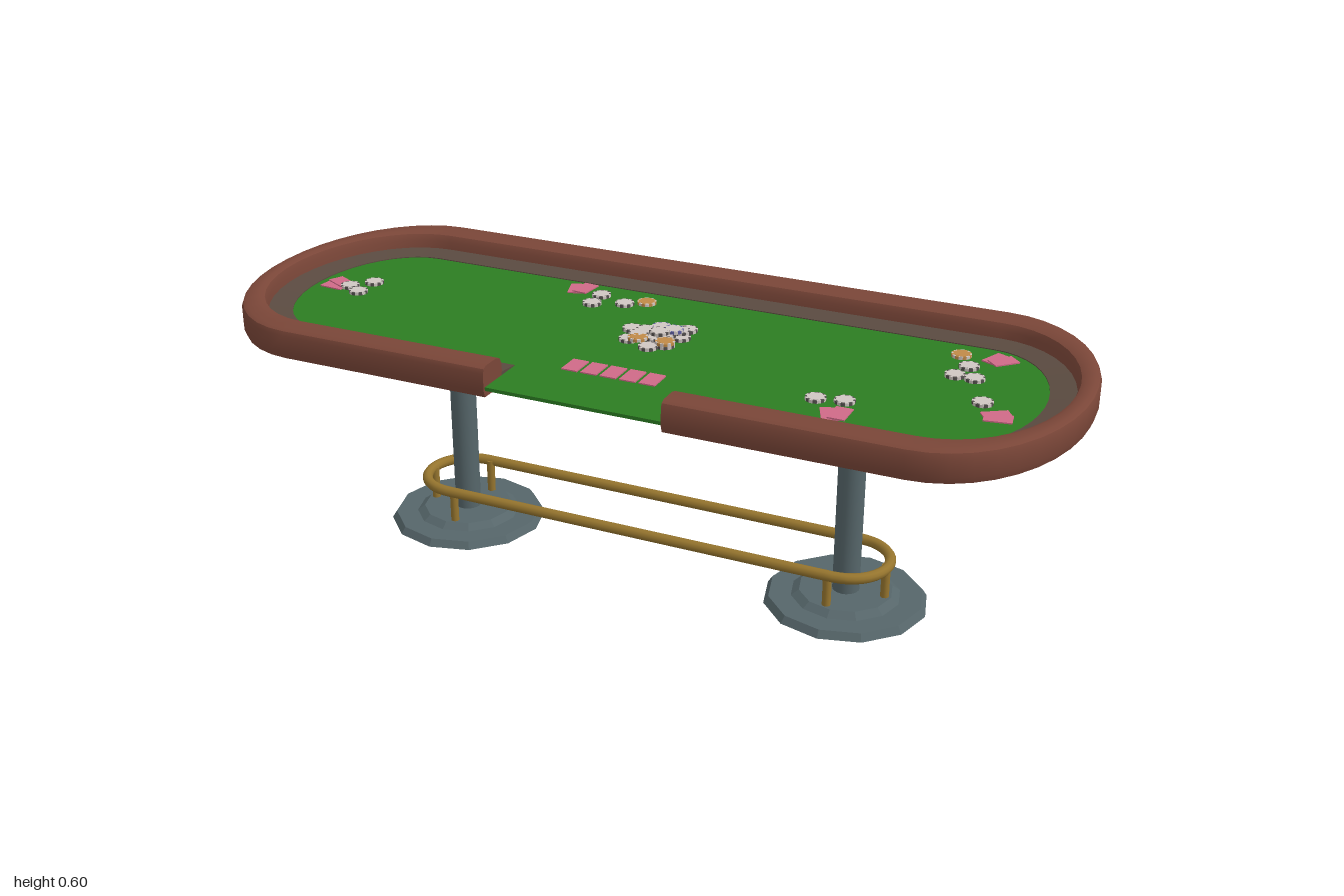
import * as THREE from 'three';
import { toCreasedNormals } from 'three/addons/utils/BufferGeometryUtils.js';

const mat = (name, color, side = THREE.FrontSide) => {
  const m = new THREE.MeshStandardMaterial({ color, side });
  m.name = name;
  return m;
};

const GAP = 0.207;       // half width of the dealer opening
const STRAIGHT = 0.72;   // where the rounded ends begin
const FELT_Y = 0.548;
const LEG_X = 0.495, LEG_Z = 0.015;

// Open outline from the right side of the opening round to its left side
function outline(rx, rz, n = 20) {
  const pts = [[GAP, rz]];
  for (let i = 0; i <= n; i++) {
    const a = (i / n) * Math.PI;
    pts.push([STRAIGHT + rx * Math.sin(a), rz * Math.cos(a)]);
  }
  return pts.concat(pts.slice().reverse().map(([x, z]) => [-x, z]));
}

// Sweeps a closed section of [rx, rz, y] rows round the table and caps both ends
function sweepRing(section) {
  const loops = section.map(([rx, rz, y]) => outline(rx, rz).map(([x, z]) => [x, y, z]));
  const n = loops[0].length, k = loops.length, pos = [];
  const tri = (a, b, c) => pos.push(...a, ...b, ...c);
  for (let j = 0; j < k; j++) {
    const p = loops[j], q = loops[(j + 1) % k];
    for (let i = 0; i < n - 1; i++) {
      tri(p[i], p[i + 1], q[i + 1]);
      tri(p[i], q[i + 1], q[i]);
    }
  }
  for (let j = 1; j < k - 1; j++) {
    tri(loops[0][0], loops[j][0], loops[j + 1][0]);
    tri(loops[0][n - 1], loops[j + 1][n - 1], loops[j][n - 1]);
  }
  const g = new THREE.BufferGeometry();
  g.setAttribute('position', new THREE.Float32BufferAttribute(pos, 3));
  return toCreasedNormals(g, 0.6);
}

export function createModel() {
  const wood = mat('railBrown', 0x7a4638);
  const trim = mat('trimBrown', 0x5a4a40);
  const green = mat('feltGreen', 0x2c7d22);
  const steel = mat('steelGrey', 0x56666a);
  const brass = mat('brass', 0x96752e);
  const pink = mat('cardPink', 0xcf6a88);
  const white = mat('chipWhite', 0xcfc6c2);
  const dark = mat('chipDark', 0x55504f);
  const orange = mat('chipOrange', 0xc08a48);
  const blue = mat('chipBlue', 0x5a5a9c);

  const root = new THREE.Group();
  root.name = 'cardTable';
  const add = (parent, name, geo, m, x = 0, y = 0, z = 0) => {
    const mesh = new THREE.Mesh(geo, m);
    mesh.name = name;
    mesh.position.set(x, y, z);
    parent.add(mesh);
    return mesh;
  };

  // Table top: padded rail, inner trim and felt with the dealer tab
  add(root, 'rail', sweepRing([
    [0.275, 0.395, 0.525], [0.28, 0.4, 0.54], [0.28, 0.4, 0.58], [0.276, 0.396, 0.59],
    [0.267, 0.387, 0.595], [0.25, 0.345, 0.595], [0.24, 0.328, 0.59], [0.235, 0.32, 0.575],
    [0.235, 0.32, 0.525],
  ]), wood);
  add(root, 'innerTrim', sweepRing([
    [0.237, 0.322, 0.538], [0.237, 0.322, 0.556], [0.178, 0.265, 0.55], [0.178, 0.265, 0.538],
  ]), trim);
  const edge = outline(0.18, 0.266).map(([x, z]) => new THREE.Vector2(x, -z));
  edge.push(new THREE.Vector2(-GAP, -0.395), new THREE.Vector2(GAP, -0.395));
  const felt = new THREE.ExtrudeGeometry(new THREE.Shape(edge), { depth: 0.008, bevelEnabled: false });
  add(root, 'felt', felt.rotateX(-Math.PI / 2), green, 0, FELT_Y - 0.008, 0);

  // Pedestals with stepped bases
  const baseProfile = [[0, 0], [0.189, 0], [0.178, 0.017], [0.126, 0.017], [0.108, 0.03], [0, 0.03]]
    .map(([r, y]) => new THREE.Vector2(r, y));
  const baseGeo = toCreasedNormals(new THREE.LatheGeometry(baseProfile, 12), 0.3);
  const columnGeo = new THREE.CylinderGeometry(0.031, 0.031, 0.515, 20);
  const postGeo = new THREE.CylinderGeometry(0.01, 0.01, 0.082, 10);
  for (const s of [1, -1]) {
    const leg = new THREE.Group();
    leg.name = s > 0 ? 'leftPedestal' : 'rightPedestal';
    leg.position.set(s * LEG_X, 0, LEG_Z);
    root.add(leg);
    add(leg, 'base', baseGeo, steel);
    add(leg, 'column', columnGeo, steel, 0, 0.2825, 0);
    for (const [x, z] of [[0.092, 0], [-0.015, 0.09], [-0.015, -0.09]])
      add(leg, 'footRailPost', postGeo, brass, s * x, 0.07, z);
  }

  // Foot rail: one closed loop round both pedestals
  const R = 0.097;
  const loop = new THREE.CurvePath();
  const arc = (cx, from) => {
    const pts = [];
    for (let i = 0; i <= 12; i++) {
      const a = from + (i / 12) * Math.PI;
      pts.push(new THREE.Vector3(cx + R * Math.sin(a), 0.108, LEG_Z + R * Math.cos(a)));
    }
    return new THREE.CatmullRomCurve3(pts);
  };
  const flat = (x, z) => new THREE.LineCurve3(
    new THREE.Vector3(x, 0.108, LEG_Z + z), new THREE.Vector3(-x, 0.108, LEG_Z + z));
  [arc(LEG_X, 0), flat(LEG_X, -R), arc(-LEG_X, Math.PI), flat(-LEG_X, R)].forEach(c => loop.add(c));
  add(root, 'footRail', new THREE.TubeGeometry(loop, 160, 0.0125, 10, true), brass);

  // Cards: five in the middle and a splayed pair for each seat
  const cardGeo = new THREE.BoxGeometry(0.038, 0.003, 0.06);
  const cards = new THREE.Group();
  cards.name = 'cards';
  root.add(cards);
  for (let i = 0; i < 5; i++) add(cards, 'tableCard', cardGeo, pink, -0.086 + i * 0.0465, FELT_Y + 0.0015, 0.21);
  for (const [x, z, a] of [[-0.29, -0.22, 0.1], [0.75, -0.205, -0.6], [-0.845, 0, 1.3],
    [0.822, 0.09, -1.2], [0.515, 0.215, 0.2]]) {
    const pair = new THREE.Group();
    pair.name = 'cardPair';
    pair.position.set(x, FELT_Y, z);
    pair.rotation.y = a;
    cards.add(pair);
    add(pair, 'lowerCard', cardGeo, pink, -0.011, 0.0015, 0).rotation.y = 0.2;
    add(pair, 'upperCard', cardGeo, pink, 0.011, 0.0045, 0).rotation.y = -0.2;
  }

  // Chips: light discs with coloured marks round the rim
  const H = 0.007, SEG = 16;
  const rimGeo = new THREE.CylinderGeometry(0.023, 0.023, H, SEG);
  rimGeo.clearGroups();
  for (let i = 0; i < SEG; i++) {
    rimGeo.addGroup(i * 6, 6, i % 2);
    rimGeo.addGroup(SEG * 6 + i * 3, 3, i % 2);
    rimGeo.addGroup(SEG * 9 + i * 3, 3, i % 2);
  }
  const faceGeo = new THREE.CylinderGeometry(0.0185, 0.0185, H + 0.001, SEG);
  const chips = new THREE.Group();
  chips.name = 'chips';
  root.add(chips);
  const chip = (x, z, level = 0, mark = dark, face = white) => {
    const g = new THREE.Group();
    g.name = 'chip';
    g.position.set(x, FELT_Y + H * (level + 0.5), z);
    g.rotation.y = x * 17 + z * 29;
    chips.add(g);
    add(g, 'chipRim', rimGeo, [white, mark]);
    add(g, 'chipFace', faceGeo, face);
  };
  // Seat chips
  for (const [x, z] of [[-0.77, -0.045], [-0.77, 0.025], [-0.81, 0], [-0.225, -0.2], [-0.222, -0.143],
    [-0.15, -0.172], [0.697, -0.143], [0.682, -0.085], [0.726, -0.083], [0.775, 0.032],
    [0.452, 0.157], [0.512, 0.145]]) chip(x, z);
  chip(-0.105, -0.2, 0, orange, orange);
  chip(0.664, -0.2, 0, orange, orange);
  // Centre pot
  for (const [x, z] of [[-0.065, -0.035], [-0.045, 0.025], [0.015, 0.05], [0.055, -0.08],
    [0.06, -0.03], [0.045, 0.025], [0, -0.06], [0.005, -0.005]]) chip(x, z);
  for (const [x, z] of [[-0.025, -0.025], [0.03, -0.015], [0.05, -0.05], [-0.03, 0.005]]) chip(x, z, 1);
  chip(-0.022, 0.026, 1, orange, orange);
  chip(0.045, 0.024, 1, orange, orange);
  chip(0, -0.055, 1, blue);
  chip(0.04, -0.035, 2, blue);
  chip(0.015, -0.01, 2);
  return root;
}
